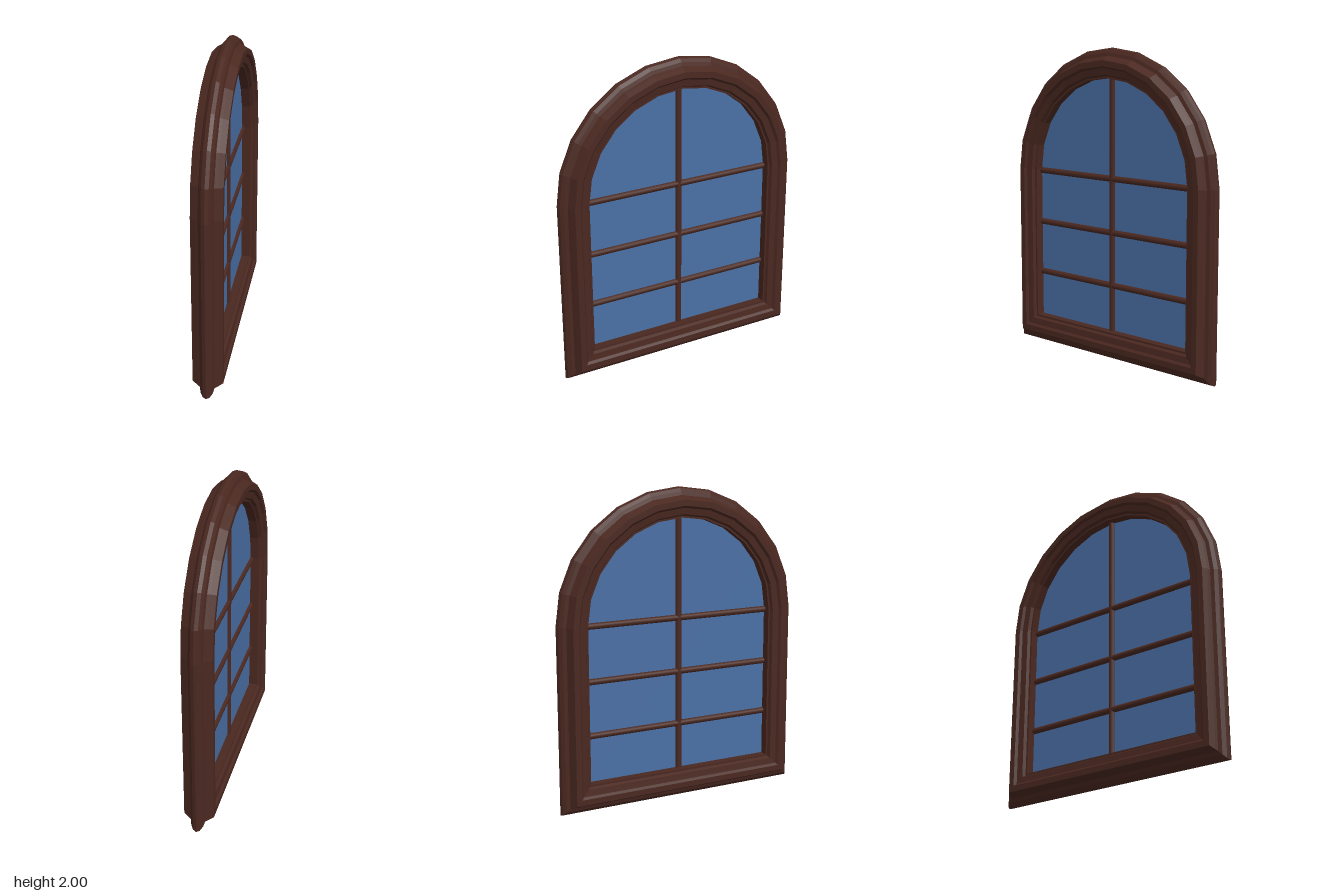
import * as THREE from 'three';

const HALF_WIDTH = 0.825, SPRING_Y = 1.19, RISE = 0.81, ARCH_STEPS = 12;
const LIP = 0.187; // inset of the inner edge of the frame

// Closed outline of the window in (z, y), inset by d from the outer edge
function outline(d) {
  const w = HALF_WIDTH - d, r = RISE - d;
  const points = [[-w, d], [w, d]];
  for (let i = 0; i <= ARCH_STEPS; i++) {
    const a = (i / ARCH_STEPS) * Math.PI;
    points.push([w * Math.cos(a), SPRING_Y + r * Math.sin(a)]);
  }
  return points;
}

// Moulded frame: a symmetrical section swept round the mitred outline
function frameGeometry() {
  // half section as [depth x, inset d], from outer ridge to inner lip
  const half = [
    [0, 0], [0.022, 0.008], [0.038, 0.028], [0.045, 0.05], [0.062, 0.058], [0.095, 0.075],
    [0.095, 0.112], [0.08, 0.125], [0.074, 0.165], [0.055, 0.175], [0.055, LIP],
  ];
  const section = [...half, ...half.slice(1).reverse().map(([x, d]) => [-x, d])];
  const rings = section.map(([x, d]) => outline(d).map(([z, y]) => [x, y, z]));
  const stations = rings[0].length;
  const positions = [];
  for (let j = 0; j < rings.length; j++) {
    const near = rings[j], far = rings[(j + 1) % rings.length];
    for (let i = 0; i < stations; i++) {
      const n = (i + 1) % stations;
      positions.push(...near[i], ...far[i], ...far[n], ...near[i], ...far[n], ...near[n]);
    }
  }
  const geometry = new THREE.BufferGeometry();
  geometry.setAttribute('position', new THREE.Float32BufferAttribute(positions, 3));
  geometry.computeVertexNormals();
  return geometry;
}

export function createModel() {
  const model = new THREE.Group();
  model.name = 'archedWindow';
  const wood = new THREE.MeshStandardMaterial({ color: 0x4a2820, flatShading: true });
  const smoothWood = new THREE.MeshStandardMaterial({ color: 0x4a2820 });
  const glass = new THREE.MeshStandardMaterial({ color: 0x4a6fa5, side: THREE.DoubleSide });

  const add = (name, geometry, material) => {
    const mesh = new THREE.Mesh(geometry, material);
    mesh.name = name;
    model.add(mesh);
    return mesh;
  };

  add('frame', frameGeometry(), wood);

  // Glass pane in the plane x = 0
  const pane = new THREE.Shape(outline(LIP - 0.01).map(([z, y]) => new THREE.Vector2(z, y)));
  add('glassPane', new THREE.ShapeGeometry(pane).rotateY(-Math.PI / 2), glass);

  // Round glazing bars
  const bar = (length) => new THREE.CylinderGeometry(0.02, 0.02, length, 12);
  const bottom = LIP - 0.01, top = SPRING_Y + RISE - LIP + 0.01;
  add('verticalBar', bar(top - bottom), smoothWood).position.y = (top + bottom) / 2;
  for (const y of [0.485, 0.83, 1.178]) {
    add('horizontalBar', bar(1.3).rotateX(Math.PI / 2), smoothWood).position.y = y;
  }
  return model;
}
